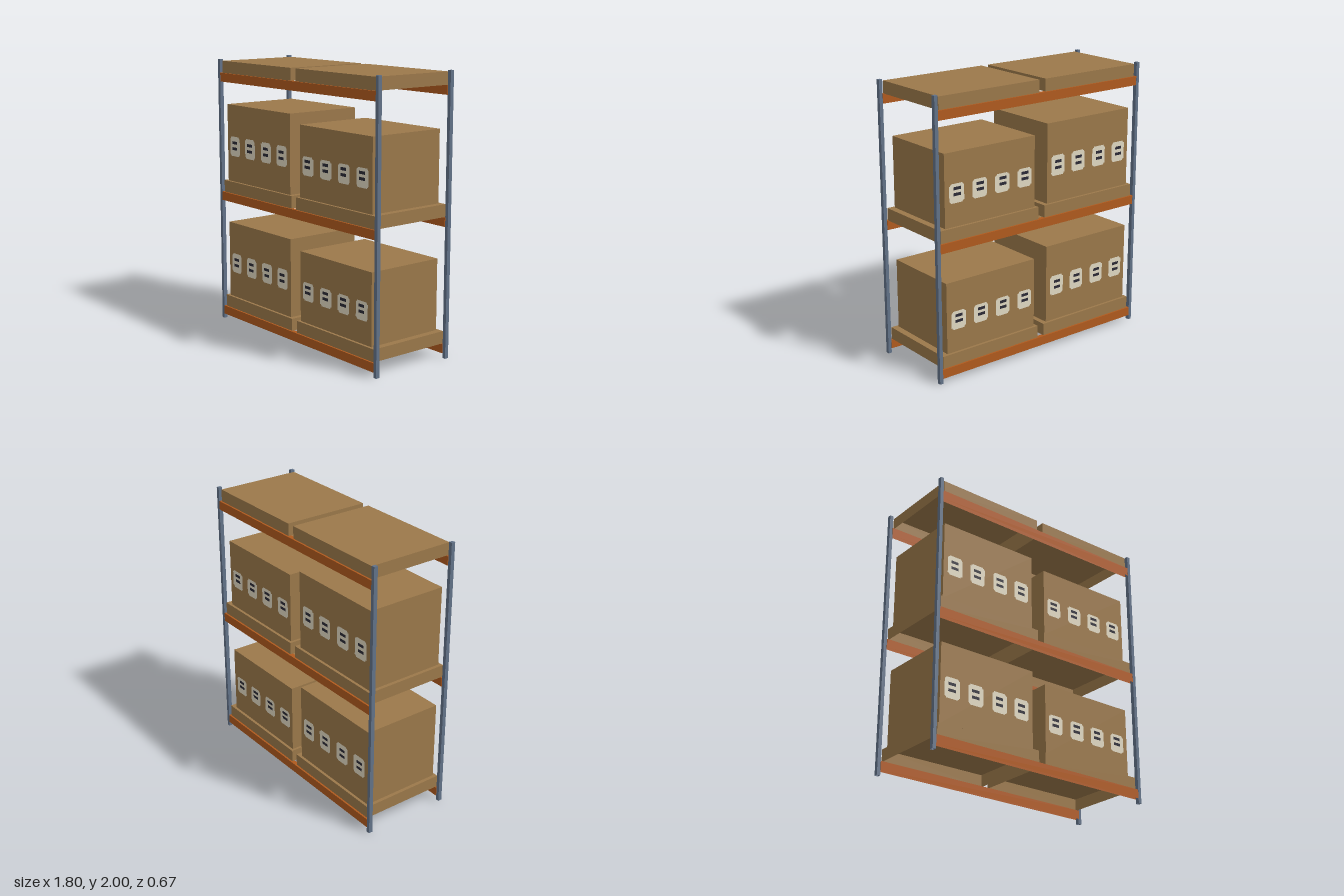
import * as THREE from 'three';

function material(name, color) {
  const m = new THREE.MeshStandardMaterial({ color, side: THREE.DoubleSide });
  m.name = name;
  return m;
}

// Thin-walled box, open underneath, given by its min and max corners
function shell(name, mat, [x0, y0, z0], [x1, y1, z1]) {
  const geometry = new THREE.BoxGeometry(x1 - x0, y1 - y0, z1 - z0);
  const index = [...geometry.index.array];
  index.splice(18, 6); // the bottom face
  geometry.setIndex(index);
  geometry.clearGroups();
  const mesh = new THREE.Mesh(geometry, mat);
  mesh.position.set((x0 + x1) / 2, (y0 + y1) / 2, (z0 + z1) / 2);
  mesh.name = name;
  return mesh;
}

// Flat label outline with stepped corners, centred on the origin
function labelGeometry(w, h) {
  const s = 0.007, x = w / 2, y = h / 2;
  const corner = [[x, y - 2 * s], [x - s, y - 2 * s], [x - s, y - s], [x - 2 * s, y - s], [x - 2 * s, y]];
  const flipped = [...corner].reverse();
  const points = [
    ...corner,
    ...flipped.map(([a, b]) => [-a, b]),
    ...corner.map(([a, b]) => [-a, -b]),
    ...flipped.map(([a, b]) => [a, -b]),
  ].map(([a, b]) => new THREE.Vector2(a, b));
  return new THREE.ShapeGeometry(new THREE.Shape(points));
}

export function createModel() {
  const model = new THREE.Group();
  model.name = 'storageRack';
  const steel = material('blue grey steel', 0x627288);
  const orange = material('orange beam', 0xb05a1e);
  const cardboard = material('cardboard brown', 0x9b784a);
  const paper = material('label paper', 0xe0d8c2);
  const ink = material('label ink', 0x2b2a36);

  // Corner posts
  for (const sx of [-1, 1]) for (const sz of [-1, 1]) {
    const post = shell('post', steel, [-0.013, 0, -0.0145], [0.013, 2, 0.0145]);
    post.position.x = sx * 0.888;
    post.position.z = sz * 0.3195;
    model.add(post);
  }

  // The two stacks on each shelf; label and bar heights are above the shelf
  const stacks = [
    { name: 'tall', pallet: [-0.861, -0.028], box: [-0.835, -0.066], top: 0.667, labels: [-0.74, -0.549, -0.352, -0.163], labelY: 0.356, labelH: 0.148, bars: [0.384, 0.339] },
    { name: 'short', pallet: [0.028, 0.861], box: [0.048, 0.812], top: 0.602, labels: [0.139, 0.334, 0.525, 0.715], labelY: 0.32, labelH: 0.134, bars: [0.354, 0.313] },
  ];

  const barGeometry = new THREE.PlaneGeometry(0.06, 0.021);

  [0.1, 1, 1.9].forEach((y, level) => {
    // Front and back beams
    for (const sz of [-1, 1]) {
      const beam = shell('beam', orange, [-0.876, y - 0.065, -0.0165], [0.876, y, 0.0165]);
      beam.position.z = sz * 0.3165;
      model.add(beam);
    }

    for (const s of stacks) {
      // Hollow pallet
      model.add(shell(s.name + 'Pallet', cardboard, [s.pallet[0], y, -0.32], [s.pallet[1], y + 0.089, 0.32]));
      if (level === 2) continue;

      // Carton with labels on the front and the back
      model.add(shell(s.name + 'Carton', cardboard, [s.box[0], y + 0.089, -0.3], [s.box[1], y + s.top, 0.3]));
      const paperGeometry = labelGeometry(0.122, s.labelH);
      for (const side of [1, -1]) for (const x of s.labels) {
        const label = new THREE.Group();
        label.name = s.name + 'CartonLabel';
        label.position.set(x, y + s.labelY, side * 0.3);
        label.rotation.y = side > 0 ? 0 : Math.PI;
        const sheet = new THREE.Mesh(paperGeometry, paper);
        sheet.name = 'labelSheet';
        sheet.position.z = 0.002;
        label.add(sheet);
        for (const barY of s.bars) {
          const bar = new THREE.Mesh(barGeometry, ink);
          bar.name = 'labelBar';
          bar.position.set(-0.003 * side, barY - s.labelY, 0.004);
          label.add(bar);
        }
        model.add(label);
      }
    }
  });
  return model;
}
